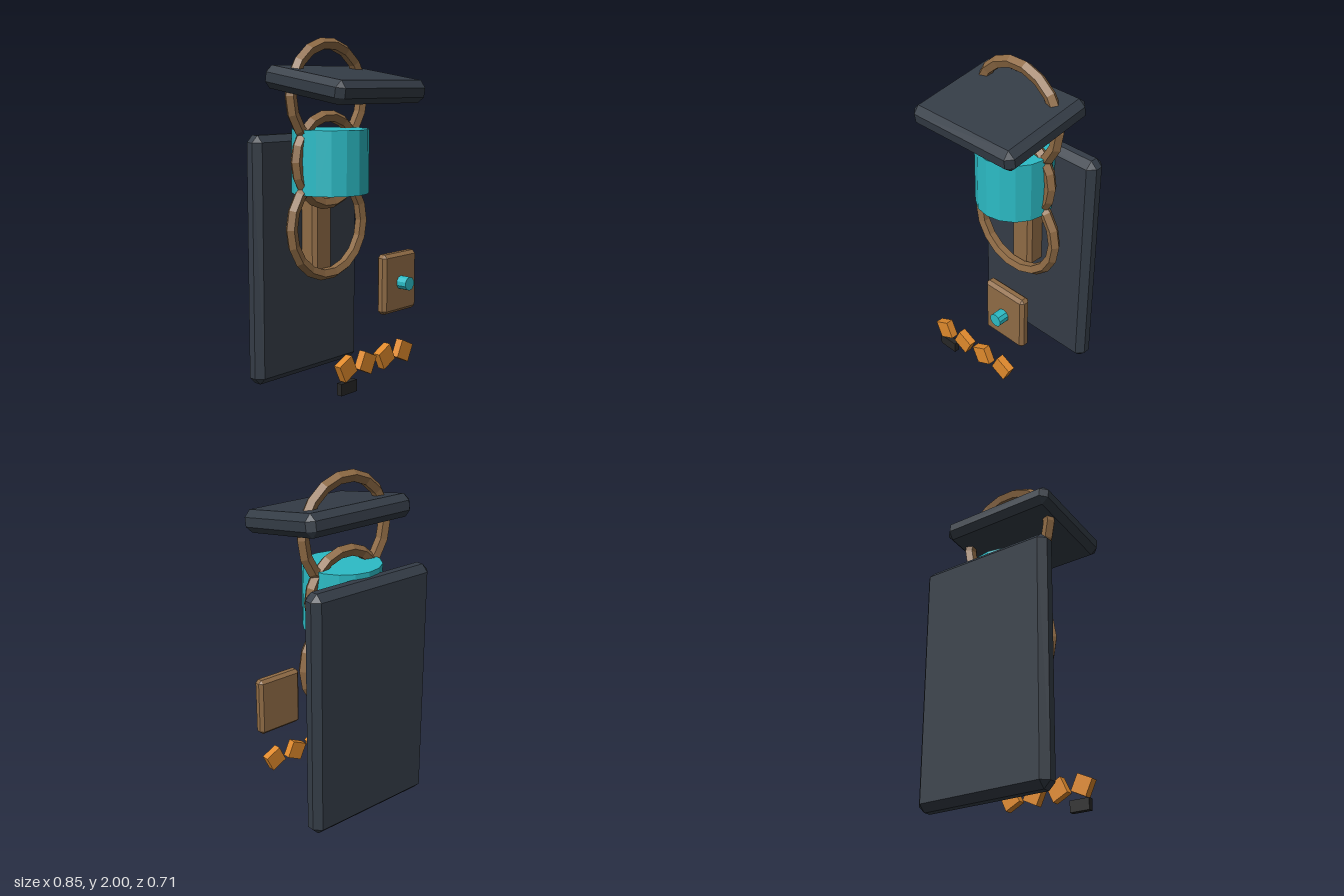
import * as THREE from 'three';
import { ConvexGeometry } from 'three/addons/geometries/ConvexGeometry.js';

const paint = (color) => new THREE.MeshStandardMaterial({ color, flatShading: true });

// Box with every edge and corner cut at 45 degrees
function chamferBox(w, h, d, c) {
  const points = [];
  for (const sx of [-1, 1]) for (const sy of [-1, 1]) for (const sz of [-1, 1]) {
    const x = w / 2, y = h / 2, z = d / 2;
    points.push(
      new THREE.Vector3(sx * x, sy * (y - c), sz * (z - c)),
      new THREE.Vector3(sx * (x - c), sy * y, sz * (z - c)),
      new THREE.Vector3(sx * (x - c), sy * (y - c), sz * z));
  }
  return new ConvexGeometry(points);
}

export function createModel() {
  const model = new THREE.Group();
  const slate = paint(0x343c46), wood = paint(0x8f6b45), teal = paint(0x2cbcc6);
  const orange = paint(0xe08a2c), black = paint(0x262626);

  const add = (name, geometry, material, x, y, z) => {
    const mesh = new THREE.Mesh(geometry, material);
    mesh.name = name;
    mesh.position.set(x, y, z);
    model.add(mesh);
    return mesh;
  };

  // Back board and the tilted canopy
  add('backBoard', chamferBox(0.85, 1.45, 0.124, 0.04), slate, 0, 0.725, -0.292);
  add('canopy', chamferBox(0.74, 0.13, 0.61, 0.038), slate, 0, 1.735, 0.052).rotation.x = 0.157;

  // Post standing off the board
  add('post', chamferBox(0.155, 0.46, 0.155, 0.022), wood, 0, 0.85, -0.2);

  // Three stacked, overlapping hoops
  const hoops = [['lowerHoop', 0.92, 0.295], ['middleHoop', 1.3, 0.253], ['upperHoop', 1.67, 0.295]];
  for (const [name, y, radius] of hoops) {
    add(name, new THREE.TorusGeometry(radius, 0.036, 5, 18), wood, 0, y, -0.093);
  }

  // Drum held in the middle hoop
  add('drum', new THREE.CylinderGeometry(0.225, 0.225, 0.37, 16), teal, 0, 1.295, -0.07);

  // Control panel with its knob
  add('panel', chamferBox(0.292, 0.35, 0.067, 0.019), wood, 0.24, 0.59, 0.235);
  add('knob', new THREE.CylinderGeometry(0.04, 0.04, 0.08, 10), teal, 0.24, 0.59, 0.294).rotation.x = Math.PI / 2;

  // Row of alternately turned blocks
  for (let i = 0; i < 4; i++) {
    const block = add('block', new THREE.BoxGeometry(0.106, 0.106, 0.046), orange, -0.244 + i * 0.163, 0.183, 0.278);
    block.rotation.z = i % 2 ? -0.45 : 0.45;
  }

  // Small dark pedal under the row
  add('pedal', new THREE.BoxGeometry(0.125, 0.068, 0.034), black, -0.228, 0.071, 0.272);

  return model;
}
